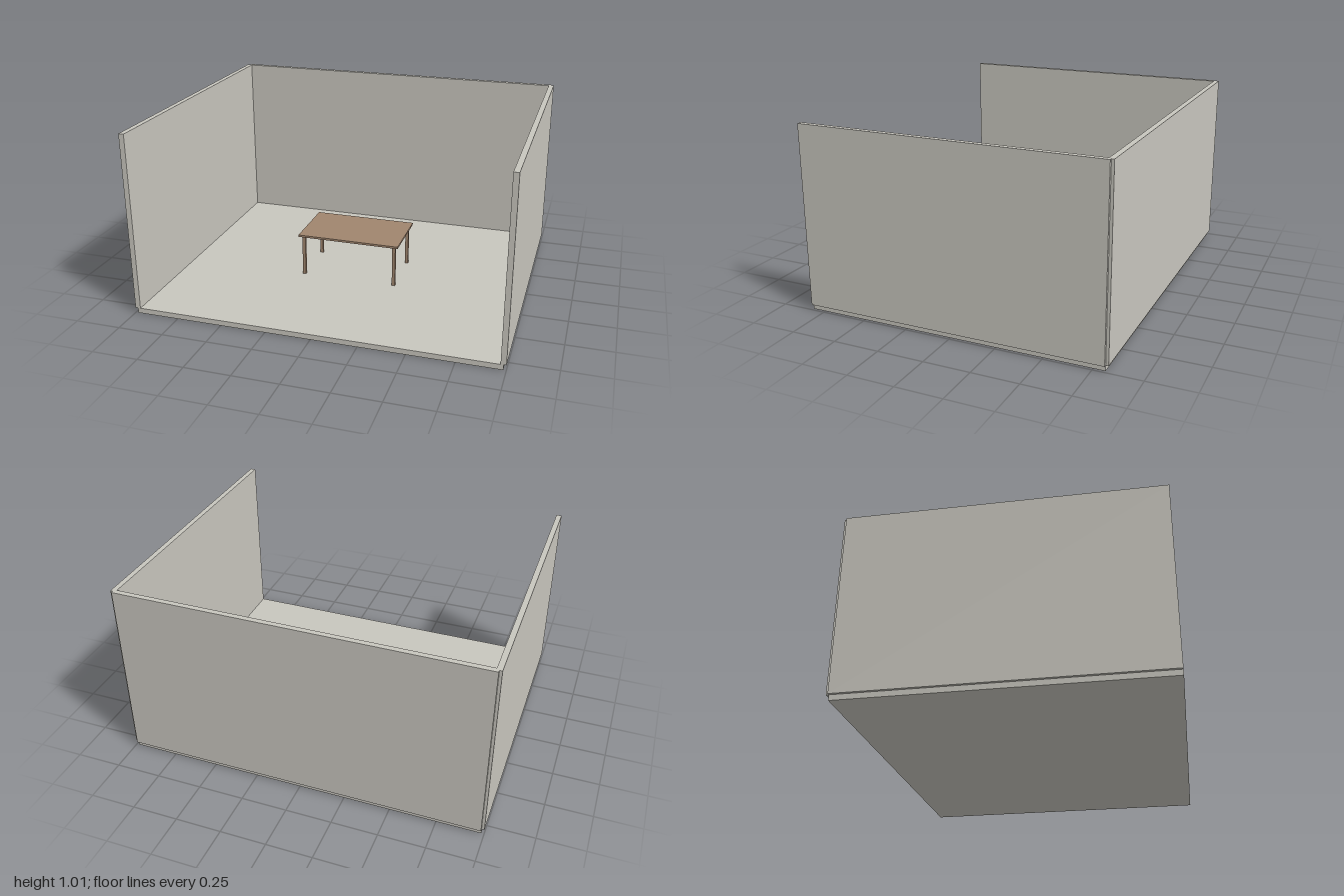
import * as THREE from 'three';

export function createModel() {
  const model = new THREE.Group();
  model.name = 'roomWithTable';

  const plaster = new THREE.MeshStandardMaterial({ color: 0xc8c6be });
  plaster.name = 'warmGreyPlaster';
  const wood = new THREE.MeshStandardMaterial({ color: 0xa0856e });
  wood.name = 'brownWood';

  // Box given by its lower and upper limits on each axis
  function box(name, material, parent, [x0, x1], [y0, y1], [z0, z1]) {
    const mesh = new THREE.Mesh(new THREE.BoxGeometry(x1 - x0, y1 - y0, z1 - z0), material);
    mesh.position.set((x0 + x1) / 2, (y0 + y1) / 2, (z0 + z1) / 2);
    mesh.name = name;
    parent.add(mesh);
  }

  // Room shell: walls are centred on the edges of the floor slab
  const room = new THREE.Group();
  room.name = 'room';
  model.add(room);
  const T = 0.029, H = 1.01, X = 0.985, BACK = -0.811, FRONT = 0.825;
  box('floor', plaster, room, [-X, X], [0, T], [BACK, FRONT]);
  box('backWall', plaster, room, [-X, X], [T, H], [BACK - T / 2, BACK + T / 2]);
  box('leftWall', plaster, room, [X - T / 2, X + T / 2], [T, H], [BACK, FRONT]);
  box('rightWall', plaster, room, [-X - T / 2, -X + T / 2], [T, H], [BACK, FRONT]);

  // Table with four square legs
  const table = new THREE.Group();
  table.name = 'table';
  table.position.z = 0.007;
  model.add(table);
  box('tableTop', wood, table, [-0.293, 0.293], [0.267, 0.279], [-0.181, 0.181]);
  const R = 0.009;
  for (const sx of [-1, 1]) {
    for (const sz of [-1, 1]) {
      const x = sx * 0.267, z = sz * 0.155;
      const name = (sz > 0 ? 'front' : 'back') + (sx > 0 ? 'Left' : 'Right') + 'Leg';
      box(name, wood, table, [x - R, x + R], [T, 0.267], [z - R, z + R]);
    }
  }

  return model;
}
